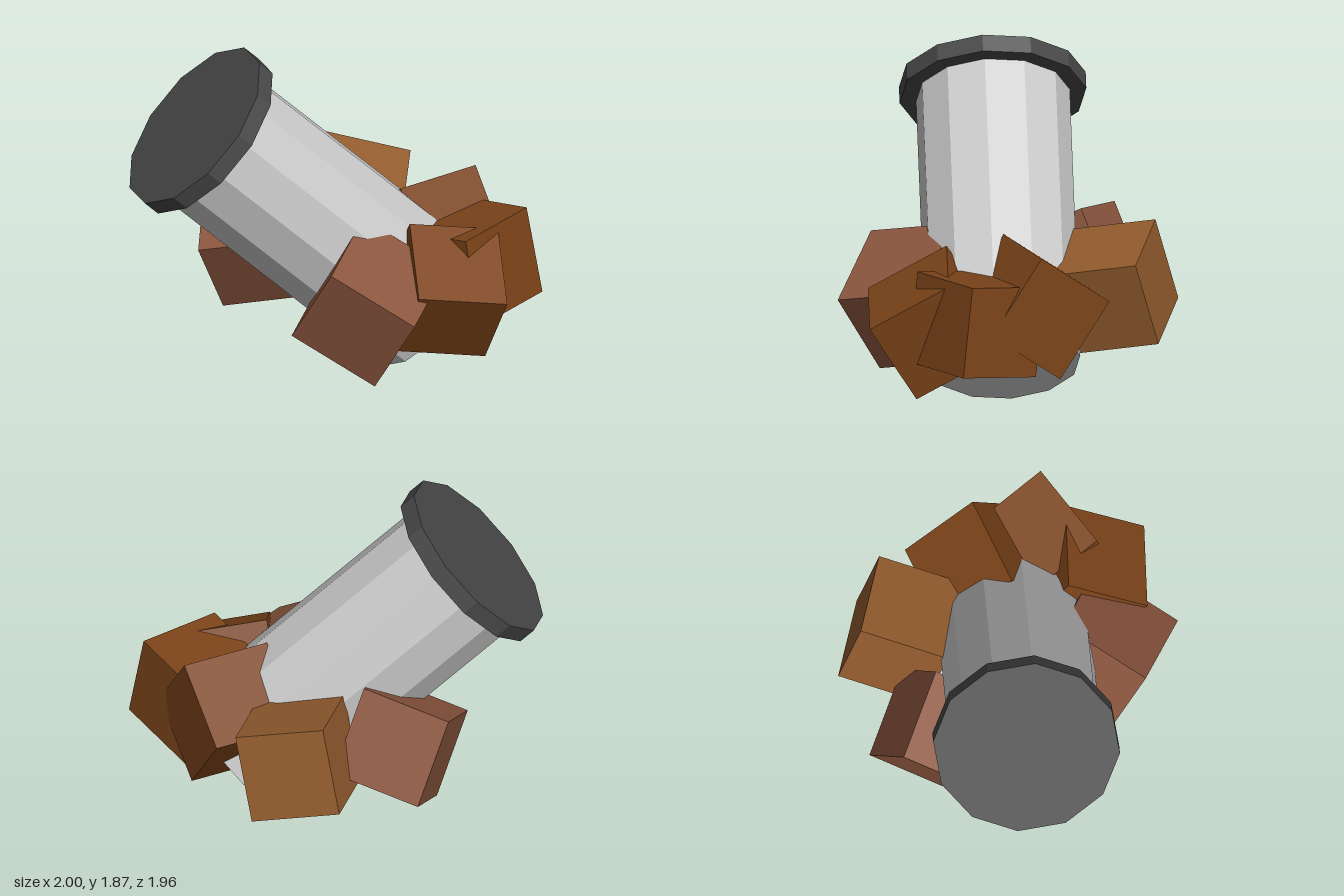
import * as THREE from 'three';

const V = (a) => new THREE.Vector3(...a);

// Rotation whose local y follows `up` and local z lies as near as possible to `side`
function orient(up, side) {
  const y = V(up).normalize();
  const z = V(side);
  z.addScaledVector(y, -z.dot(y)).normalize();
  const x = new THREE.Vector3().crossVectors(y, z);
  return new THREE.Matrix4().makeBasis(x, y, z);
}

function part(name, geometry, color) {
  const mesh = new THREE.Mesh(geometry, new THREE.MeshStandardMaterial({ color, flatShading: true }));
  mesh.name = name;
  return mesh;
}

export function createModel() {
  const model = new THREE.Group();
  model.name = 'tiltedTubeWithBlocks';

  // Leaning twelve-sided tube with a wider dark cap; its origin is the bottom centre
  const length = 1.75, capHeight = 0.1;
  const tube = new THREE.Group();
  tube.name = 'tube';
  const body = part('tubeBody', new THREE.CylinderGeometry(0.42, 0.42, length - capHeight, 12), 0xcccccc);
  body.position.y = (length - capHeight) / 2;
  const cap = part('tubeCap', new THREE.CylinderGeometry(0.51, 0.51, capHeight, 12), 0x484848);
  cap.position.y = length - capHeight / 2;
  tube.add(body, cap);
  tube.quaternion.setFromRotationMatrix(orient([-0.447, 0.685, 0.575], [-0.44, -0.135, -0.18]));
  tube.position.set(0.235, 0.315, -0.45);
  model.add(tube);

  // Tumbled cubes around the foot: centre, edge length, two edge directions, colour
  const red = 0x8b563e, brown = 0x7c4419, tan = 0x935c2e;
  const blocks = [
    ['frontRightBlock', [-0.604, 0.602, -0.07], 0.5, [0.027, 0.43, 0.25], [0.427, 0.1, -0.225], red],
    ['frontLeftBlock', [0.342, 0.565, 0.153], 0.53, [0.29, 0.45, 0.016], [0.405, -0.25, -0.2], red],
    ['leftBlock', [0.571, 0.559, -0.243], 0.497, [0.24, 0.42, 0.11], [-0.315, 0.073, 0.377], brown],
    ['backLeftBlock', [0.5, 0.605, -0.537], 0.497, [-0.086, 0.475, 0.026], [-0.03, -0.036, 0.498], brown],
    ['backBlock', [0.174, 0.657, -0.617], 0.5, [-0.285, 0.403, -0.078], [0.14, 0.005, -0.479], brown],
    ['backRightBlock', [-0.396, 0.656, -0.634], 0.497, [0.15, 0.475, 0.016], [0.39, -0.113, -0.289], tan],
  ];
  for (const [name, centre, size, up, side, color] of blocks) {
    const block = part(name, new THREE.BoxGeometry(size, size, size), color);
    block.quaternion.setFromRotationMatrix(orient(up, side));
    block.position.copy(V(centre));
    model.add(block);
  }
  return model;
}
